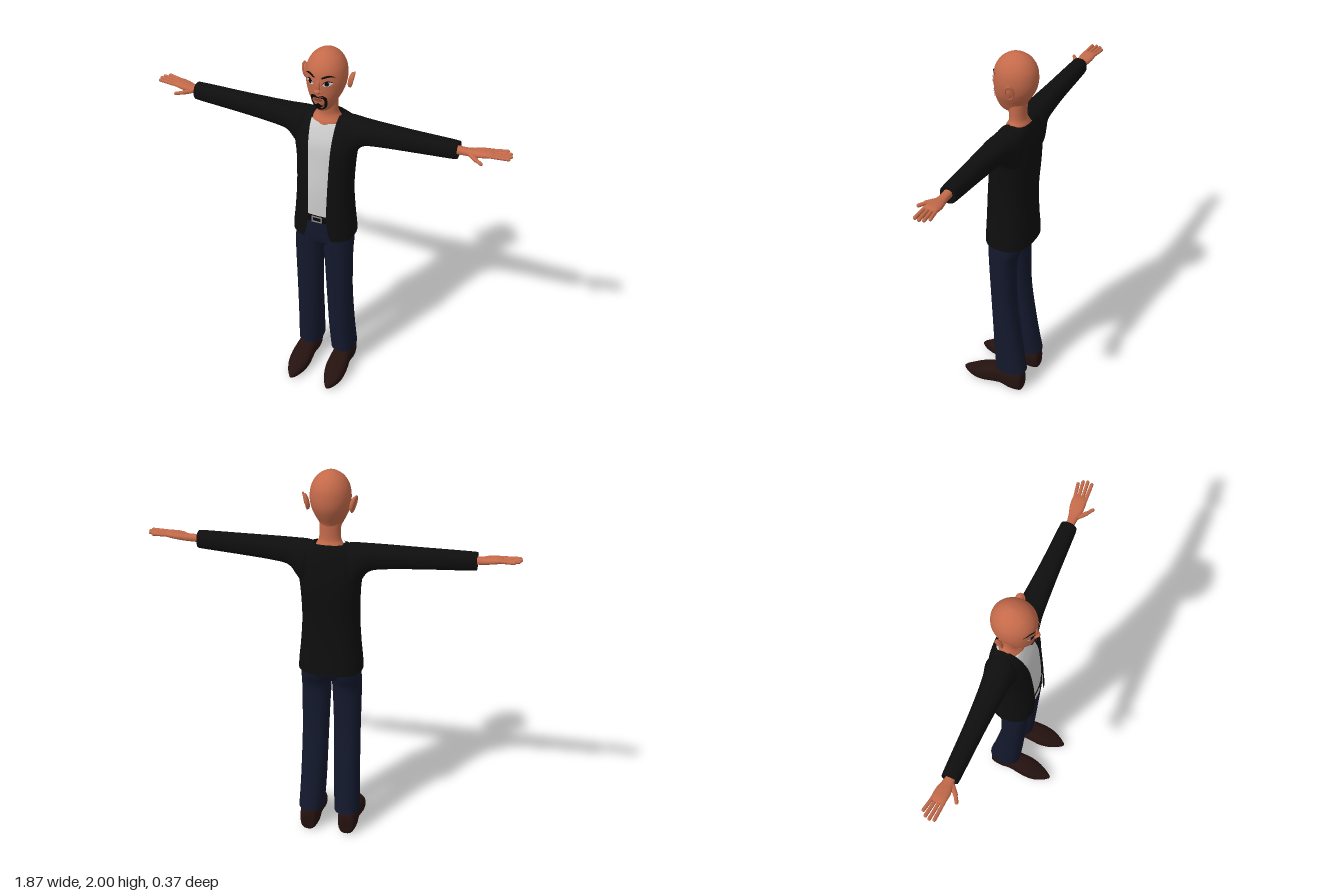
import * as THREE from 'three';

const mat = (color, side = THREE.FrontSide) => new THREE.MeshStandardMaterial({ color, side });
const M = {
  skin: mat(0xc46a4a), jacket: mat(0x0e0e0e, THREE.DoubleSide), shirt: mat(0xcccccc),
  jeans: mat(0x13182c), shoe: mat(0x24120f), black: mat(0x0b0808), white: mat(0xe8e8e8),
  lips: mat(0x8f4536), metal: mat(0x8a8a8a),
};

// Catmull-Rom refinement of a list of cross-sections
function refine(rows, k = 5) {
  const out = [], at = i => rows[Math.max(0, Math.min(rows.length - 1, i))];
  for (let i = 0; i < rows.length - 1; i++) {
    for (let j = 0; j < k; j++) {
      const t = j / k, [a, b, c, d] = [at(i - 1), at(i), at(i + 1), at(i + 2)];
      out.push(b.map((_, m) => 0.5 * (2 * b[m] + (c[m] - a[m]) * t
        + (2 * a[m] - 5 * b[m] + 4 * c[m] - d[m]) * t * t
        + (3 * b[m] - a[m] - 3 * c[m] + d[m]) * t * t * t)));
    }
  }
  out.push(rows[rows.length - 1]);
  return out;
}

// Skin over sections [t, aMin, aMax, bMin, bMax, gap?] stacked along an axis;
// (a, b) is (x, z) for axis y, (z, y) for axis x, (y, x) for axis z.
function loft(rows, { axis = 'y', p = 1, n = 36 } = {}) {
  const secs = refine(rows), pos = [], idx = [], open = rows[0].length > 5;
  const put = (t, a, b) => pos.push(...(axis === 'y' ? [a, t, b] : axis === 'x' ? [t, b, a] : [b, a, t]));
  const pw = v => Math.sign(v) * Math.abs(v) ** p;
  const w = open ? n + 1 : n;
  const ring = ([t, a0, a1, b0, b1, gap = 0]) => {
    const ra = (a1 - a0) / 2, rb = (b1 - b0) / 2;
    const s = open ? Math.asin(Math.min(1, gap / ra) ** (1 / p)) : 0;
    for (let j = 0; j < w; j++) {
      const th = s + (2 * Math.PI - 2 * s) * j / n;
      put(t, (a0 + a1) / 2 + ra * pw(Math.sin(th)), (b0 + b1) / 2 + rb * pw(Math.cos(th)));
    }
  };
  secs.forEach(ring);
  for (let i = 0; i < secs.length - 1; i++) {
    for (let j = 0; j < n; j++) {
      const a = i * w + j, b = i * w + (j + 1) % w;
      idx.push(a, b, b + w, a, b + w, a + w);
    }
  }
  if (!open) {
    [secs[0], secs[secs.length - 1]].forEach((s, e) => {
      const base = pos.length / 3;
      ring(s);
      put(s[0], (s[1] + s[2]) / 2, (s[3] + s[4]) / 2);
      for (let j = 0; j < n; j++) {
        const a = base + j, b = base + (j + 1) % n;
        idx.push(base + n, ...(e ? [a, b] : [b, a]));
      }
    });
  }
  const g = new THREE.BufferGeometry();
  g.setAttribute('position', new THREE.Float32BufferAttribute(pos, 3));
  g.setIndex(idx);
  g.computeVertexNormals();
  return g;
}

// Mirror across x, keeping faces outward
function mirror(geo) {
  const g = geo.clone().scale(-1, 1, 1), ix = g.index.array;
  for (let i = 0; i < ix.length; i += 3) [ix[i], ix[i + 1]] = [ix[i + 1], ix[i]];
  g.computeVertexNormals();
  return g;
}

const sym = rows => rows.map(([y, r, z0, z1, ...g]) => [y, -r, r, z0, z1, ...g]);

const HEAD = sym([
  [1.685, 0.012, -0.08, -0.02], [1.695, 0.034, -0.105, 0.005], [1.715, 0.048, -0.115, 0.022],
  [1.745, 0.064, -0.128, 0.035], [1.785, 0.084, -0.152, 0.043], [1.825, 0.096, -0.17, 0.045],
  [1.87, 0.101, -0.176, 0.045], [1.92, 0.094, -0.17, 0.038], [1.96, 0.073, -0.148, 0.014],
  [1.985, 0.044, -0.118, -0.018], [1.997, 0.016, -0.088, -0.048], [2.0, 0.002, -0.071, -0.067],
]);
const headFine = refine(HEAD, 12);
function faceZ(x, y) {
  const s = headFine.reduce((a, b) => Math.abs(b[0] - y) < Math.abs(a[0] - y) ? b : a);
  const k = Math.min(1, Math.abs(x / s[2]));
  return (s[3] + s[4]) / 2 + (s[4] - s[3]) / 2 * Math.sqrt(1 - k * k);
}
// Flat outline laid onto the face
function facePatch(points, lift, hole) {
  const curve = q => new THREE.SplineCurve([...q, q[0]].map(v => new THREE.Vector2(...v))).getPoints(32).slice(0, -1);
  const s = new THREE.Shape(curve(points));
  if (hole) s.holes.push(new THREE.Path(curve(hole)));
  const g = new THREE.ShapeGeometry(s), v = g.attributes.position;
  for (let i = 0; i < v.count; i++) v.setZ(i, faceZ(v.getX(i), v.getY(i)) + lift);
  g.computeVertexNormals();
  return g;
}
const disc = (x, y, rx, ry) => Array.from({ length: 10 }, (_, i) =>
  [x + rx * Math.cos(i * Math.PI / 5), y + ry * Math.sin(i * Math.PI / 5)]);
const ball = (x, y, z, rx, ry, rz) => new THREE.SphereGeometry(1, 24, 16).scale(rx, ry, rz).translate(x, y, z);

// Rounded rod between two points
function rod(a, b, r) {
  const A = new THREE.Vector3(...a), B = new THREE.Vector3(...b), d = B.clone().sub(A);
  const q = new THREE.Quaternion().setFromUnitVectors(new THREE.Vector3(0, 1, 0), d.clone().normalize());
  return new THREE.CapsuleGeometry(r, d.length(), 6, 12).applyQuaternion(q)
    .translate(...A.add(B).multiplyScalar(0.5).toArray());
}

export function createModel() {
  const root = new THREE.Group();
  const add = (name, geo, m) => {
    const mesh = new THREE.Mesh(geo, m);
    mesh.name = name;
    root.add(mesh);
  };
  const pair = (name, geo, m) => {
    add(name + 'Left', geo, m);
    add(name + 'Right', mirror(geo), m);
  };

  // Head, neck and ears
  add('head', loft(HEAD, { n: 48 }), M.skin);
  add('neck', loft(sym([[1.57, 0.088, -0.14, -0.012], [1.61, 0.08, -0.14, -0.02], [1.635, 0.066, -0.13, -0.033],
    [1.665, 0.054, -0.12, -0.036], [1.74, 0.054, -0.122, -0.025]])), M.skin);
  pair('ear', ball(0, 0, 0, 0.013, 0.041, 0.022).rotateZ(-0.25).rotateY(0.3).translate(0.114, 1.842, -0.09), M.skin);
  pair('earRim', new THREE.TorusGeometry(0.019, 0.005, 8, 24).scale(1, 1.95, 1).rotateY(Math.PI / 2 + 0.3)
    .rotateZ(-0.25).translate(0.121, 1.843, -0.09), M.skin);

  // Face
  add('noseBridge', ball(0, 1.85, 0.042, 0.011, 0.034, 0.011), M.skin);
  add('noseTip', ball(0, 1.823, 0.047, 0.014, 0.012, 0.015), M.skin);
  pair('nostril', ball(0.013, 1.82, 0.043, 0.008, 0.008, 0.009), M.skin);
  pair('eyeWhite', facePatch([[0.022, 1.862], [0.034, 1.877], [0.05, 1.881], [0.067, 1.87], [0.05, 1.856], [0.034, 1.855]], 0.003), M.white);
  pair('iris', facePatch(disc(0.043, 1.868, 0.0095, 0.011), 0.0055), M.black);
  pair('eyelid', facePatch([[0.02, 1.863], [0.034, 1.88], [0.05, 1.885], [0.071, 1.871], [0.05, 1.88], [0.034, 1.875]], 0.0065), M.black);
  pair('eyebrow', facePatch([[0.018, 1.893], [0.02, 1.902], [0.05, 1.912], [0.076, 1.897], [0.05, 1.902]], 0.005), M.black);
  add('goatee', facePatch([[0, 1.801], [0.022, 1.804], [0.04, 1.792], [0.042, 1.765], [0.036, 1.735], [0.02, 1.716],
    [0, 1.712], [-0.02, 1.716], [-0.036, 1.735], [-0.042, 1.765], [-0.04, 1.792], [-0.022, 1.804]], 0.005,
    [[0, 1.789], [0.024, 1.786], [0.031, 1.768], [0.024, 1.745], [0.011, 1.75], [0, 1.758],
      [-0.011, 1.75], [-0.024, 1.745], [-0.031, 1.768], [-0.024, 1.786]]), M.black);
  add('lips', facePatch(disc(0, 1.775, 0.024, 0.008), 0.005), M.lips);

  // Shirt, with the open jacket over it
  add('shirt', loft(sym([[1.075, 0.138, -0.155, 0.05], [1.24, 0.132, -0.155, 0.05], [1.4, 0.138, -0.165, 0.036],
    [1.5, 0.148, -0.163, 0.024], [1.57, 0.14, -0.152, -0.002], [1.608, 0.1, -0.14, -0.022]]), { p: 0.8 }), M.shirt);
  add('jacketBody', loft(sym([[0.95, 0.165, -0.178, 0.067, 0.075], [1.0, 0.163, -0.176, 0.067, 0.06],
    [1.1, 0.153, -0.17, 0.064, 0.05], [1.24, 0.145, -0.168, 0.06, 0.052], [1.4, 0.151, -0.178, 0.048, 0.056],
    [1.5, 0.165, -0.175, 0.035, 0.06], [1.58, 0.165, -0.165, 0.006, 0.064], [1.62, 0.135, -0.155, -0.022, 0.066],
    [1.643, 0.08, -0.145, -0.045, 0.068]]), { p: 0.8, n: 56 }), M.jacket);

  // Sleeves: the right one reaches further down the wrist
  const sleeve = end => loft([[0.07, -0.14, -0.045, 1.5, 1.64], [0.12, -0.162, -0.003, 1.42, 1.642],
    [0.155, -0.156, -0.004, 1.45, 1.641], [0.2, -0.143, -0.008, 1.505, 1.64], [0.28, -0.133, -0.013, 1.522, 1.64],
    [0.45, -0.122, -0.022, 1.535, 1.64], [end - 0.01, -0.115, -0.03, 1.55, 1.64], [end, -0.11, -0.035, 1.555, 1.635]],
  { axis: 'x', p: 0.85 });
  add('sleeveLeft', sleeve(0.667), M.jacket);
  add('sleeveRight', mirror(sleeve(0.71)), M.jacket);

  // Hands, palms down with spread fingers
  pair('palm', loft([[0.63, -0.092, -0.045, 1.575, 1.622], [0.7, -0.093, -0.049, 1.58, 1.617],
    [0.74, -0.1, -0.045, 1.583, 1.618], [0.78, -0.111, -0.038, 1.59, 1.624], [0.82, -0.114, -0.04, 1.598, 1.628],
    [0.845, -0.108, -0.046, 1.606, 1.624]], { axis: 'x', p: 0.85, n: 24 }), M.skin);
  [[-0.104, -0.118, 0.9], [-0.086, -0.099, 0.92], [-0.067, -0.077, 0.927], [-0.049, -0.054, 0.922]]
    .forEach(([z0, z1, x], i) => pair('finger' + (i + 1), rod([0.825, 1.614, z0], [x, 1.619, z1], 0.0088), M.skin));
  pair('thumbBase', rod([0.735, 1.599, -0.055], [0.775, 1.598, -0.02], 0.0115), M.skin);
  pair('thumbTip', rod([0.775, 1.598, -0.02], [0.806, 1.596, 0.0], 0.009), M.skin);

  // Trousers and belt
  add('hips', loft(sym([[0.885, 0.1, -0.1, 0.02], [0.91, 0.138, -0.132, 0.034], [0.96, 0.15, -0.155, 0.042],
    [1.07, 0.141, -0.155, 0.048]]), { p: 0.85 }), M.jeans);
  pair('leg', loft([[0.13, 0.03, 0.165, -0.185, -0.01], [0.3, 0.022, 0.159, -0.154, 0.002],
    [0.55, 0.016, 0.155, -0.117, 0.017], [0.72, 0.01, 0.156, -0.109, 0.027], [0.84, 0.004, 0.157, -0.112, 0.034],
    [0.91, 0.001, 0.156, -0.138, 0.039], [0.98, 0.002, 0.15, -0.158, 0.042]], { p: 0.9 }), M.jeans);
  add('belt', loft(sym([[1.05, 0.144, -0.16, 0.055], [1.09, 0.143, -0.16, 0.055]]), { p: 0.8 }), M.black);
  const frame = new THREE.Shape([[-0.028, -0.017], [0.028, -0.017], [0.028, 0.017], [-0.028, 0.017]].map(v => new THREE.Vector2(...v)));
  frame.holes.push(new THREE.Path([[-0.022, -0.012], [-0.022, 0.012], [0.022, 0.012], [0.022, -0.012]].map(v => new THREE.Vector2(...v))));
  add('buckle', new THREE.ExtrudeGeometry(frame, { depth: 0.006, bevelEnabled: false }).translate(-0.004, 1.07, 0.053), M.metal);

  // Pointed shoes with a raised arch
  pair('shoe', loft([[-0.174, 0.02, 0.09, 0.08, 0.128], [-0.163, 0.0, 0.125, 0.062, 0.147], [-0.11, 0.0, 0.135, 0.05, 0.158],
    [-0.05, 0.012, 0.13, 0.052, 0.156], [0.0, 0.01, 0.115, 0.05, 0.162], [0.05, 0.001, 0.1, 0.049, 0.165],
    [0.1, 0.0, 0.078, 0.058, 0.16], [0.145, 0.004, 0.056, 0.076, 0.143], [0.175, 0.012, 0.042, 0.094, 0.124],
    [0.187, 0.02, 0.032, 0.105, 0.114]], { axis: 'z', p: 0.75 }), M.shoe);

  return root;
}
